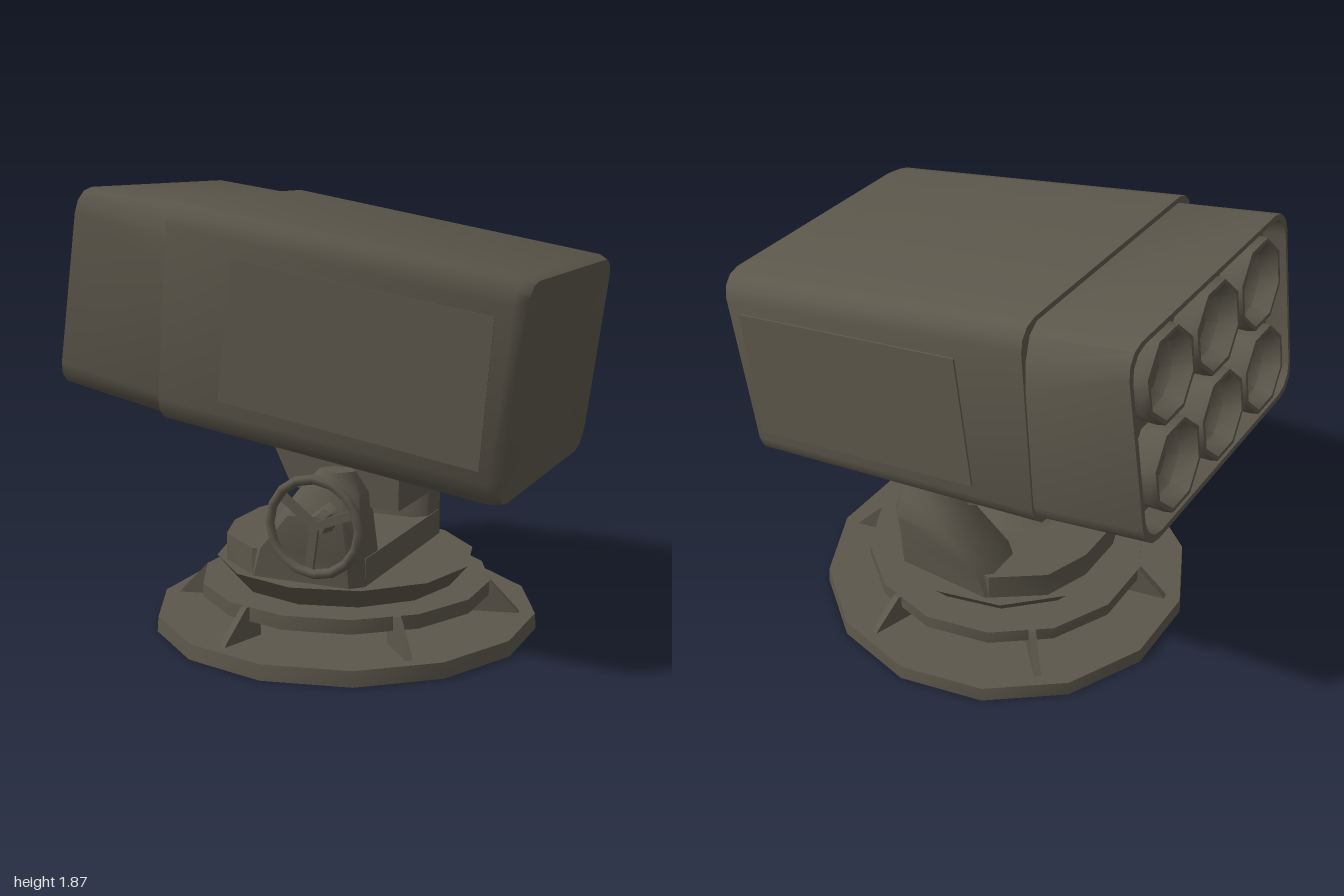
import * as THREE from 'three';
import { toCreasedNormals } from 'three/addons/utils/BufferGeometryUtils.js';

const olive = new THREE.MeshStandardMaterial({ color: 0x5c574b });
olive.name = 'drab olive';

export function createModel() {
  const root = new THREE.Group();
  const add = (name, geometry, parent = root) => {
    const mesh = new THREE.Mesh(geometry, olive);
    mesh.name = name;
    parent.add(mesh);
    return mesh;
  };
  const crease = (g, deg = 35) => toCreasedNormals(g, THREE.MathUtils.degToRad(deg));

  // Skin a list of closed rings (counter-clockwise seen from the end) and cap both ends
  const loft = (rings, deg = 35) => {
    const n = rings[0].length, pos = [];
    const tri = (...p) => p.forEach(v => pos.push(v[0], v[1], v[2]));
    const mid = r => [0, 1, 2].map(k => r.reduce((s, p) => s + p[k], 0) / n);
    const first = rings[0], last = rings[rings.length - 1];
    for (let j = 0; j < n; j++) {
      const k = (j + 1) % n;
      for (let i = 0; i < rings.length - 1; i++) {
        const a = rings[i][j], b = rings[i][k], c = rings[i + 1][k], d = rings[i + 1][j];
        tri(a, b, d);
        tri(b, c, d);
      }
      tri(mid(last), last[j], last[k]);
      tri(mid(first), first[k], first[j]);
    }
    const g = new THREE.BufferGeometry();
    g.setAttribute('position', new THREE.Float32BufferAttribute(pos, 3));
    return crease(g, deg);
  };

  // Rounded rectangle across the pod, leaning from its bottom point to its top point
  const section = ([tx, ty], [bx, by], w, [cz, cy] = [0.1, 0.1], [dz, dy] = [0.11, 0.1]) => {
    const ring = [], steps = 3;
    const corner = (sz, top, from) => {
      const rz = top ? cz : dz, ry = top ? cy : dy;
      for (let i = 0; i <= steps; i++) {
        const t = from + (i / steps) * Math.PI / 2;
        const z = sz * (w - rz) - rz * Math.cos(t);
        const y = (top ? ty - ry : by + ry) + ry * Math.sin(t);
        ring.push([bx + (tx - bx) * (y - by) / (ty - by), y, z]);
      }
    };
    corner(-1, true, 0);
    corner(1, true, Math.PI / 2);
    corner(1, false, Math.PI);
    corner(-1, false, Math.PI * 1.5);
    return ring;
  };

  // Launcher pod
  add('podHousing', loft([
    section([-0.46, 1.83], [-0.53, 0.94], 0.645),
    section([0.96, 1.578], [0.85, 0.722], 0.645),
    section([1.0, 1.56], [0.89, 0.72], 0.61),
  ], 50));

  // Hollow shroud around the tube mouths, pinched where it enters the housing
  add('tubeShroud', loft([
    section([-0.79, 1.84], [-0.9, 1.09], 0.615),
    section([-0.884, 1.852], [-0.998, 1.08], 0.62),
    section([-0.88, 1.87], [-1.0, 1.055], 0.64),
    section([-0.44, 1.805], [-0.5, 0.95], 0.635, [0.1, 0.25]),
  ], 40));

  // Six open tubes in two rows
  const tubeProfile = [[0.175, -0.3], [0.187, -0.02], [0.182, 0.015], [0.165, 0.015],
    [0.145, -0.06], [0.08, -0.1], [0, -0.11]].map(p => new THREE.Vector2(...p));
  const tubeGeometry = crease(new THREE.LatheGeometry(tubeProfile, 8, Math.PI / 8), 50);
  const slope = Math.atan2(0.12, 0.81);
  for (const row of [-0.19, 0.19]) for (const z of [-0.37, 0, 0.37]) {
    const tube = add('launchTube', tubeGeometry);
    tube.position.set(-0.935 + row * Math.sin(slope), 1.465 + row * Math.cos(slope), z);
    tube.rotation.z = Math.PI / 2 - slope;
  }

  // Extruded outline helper
  const extrude = (points, depth) => crease(new THREE.ExtrudeGeometry(
    new THREE.Shape(points.map(p => new THREE.Vector2(...p))), { depth, bevelEnabled: false }));

  // Thin side panels
  const panel = extrude([[-0.25, 1.05], [0.83, 0.87], [0.88, 1.44], [-0.18, 1.61]], 0.008);
  add('sidePanelFront', panel).position.z = 0.641;
  add('sidePanelBack', panel).position.z = -0.655;

  // Cradle under the pod
  add('cradle', extrude([[-0.2, 0.92], [-0.08, 0.67], [0.05, 0.61], [0.4, 0.6], [0.4, 0.83]], 0.7))
    .position.z = -0.35;

  // Yoke floor with a low centre cap
  add('yokeFloor', extrude([[0.29, -0.42], [0.29, 0.42], [-0.2, 0.47], [-0.4, 0.32],
    [-0.47, 0.12], [-0.47, -0.12], [-0.4, -0.32], [-0.2, -0.47]], 0.12).rotateX(-Math.PI / 2))
    .position.y = 0.29;
  add('centreCap', new THREE.ConeGeometry(0.2, 0.06, 10)).position.set(-0.05, 0.436, 0);

  // Yoke arms: stacked outlines [y, x0, x1, inner z, outer z] with cut corners
  const armLevels = [[0.29, -0.24, 0.29, 0.22, 0.48], [0.42, -0.2, 0.285, 0.24, 0.49],
    [0.58, -0.06, 0.28, 0.275, 0.52], [0.67, 0.0, 0.27, 0.3, 0.49], [0.76, 0.08, 0.23, 0.34, 0.46]];
  for (const side of [1, -1]) {
    const rings = armLevels.map(([y, x0, x1, zi, zo]) => {
      const c = 0.05;
      const ring = [[x0 + c, zo], [x1 - c, zo], [x1, zo - c], [x1, zi + c],
        [x1 - c, zi], [x0 + c, zi], [x0, zi + c], [x0, zo - c]].map(([x, z]) => [x, y, side * z]);
      return side > 0 ? ring : ring.reverse();
    });
    add(side > 0 ? 'yokeArmFront' : 'yokeArmBack', loft(rings, 45));
  }

  // Elevation handwheel
  const wheel = new THREE.Group();
  wheel.name = 'handwheel';
  wheel.position.set(0.165, 0.585, 0.645);
  root.add(wheel);
  add('wheelRim', new THREE.TorusGeometry(0.19, 0.02, 6, 16), wheel);
  const alongZ = (r0, r1, length, sides) =>
    crease(new THREE.CylinderGeometry(r0, r1, length, sides).rotateX(Math.PI / 2));
  add('wheelHub', alongZ(0.04, 0.05, 0.08, 8), wheel).position.z = -0.055;
  add('wheelShaft', alongZ(0.025, 0.025, 0.14, 8), wheel).position.z = -0.1;
  add('shaftBoss', alongZ(0.02, 0.09, 0.06, 8), wheel).position.z = -0.14;
  for (const deg of [22, 142, 262]) {
    const spoke = add('wheelSpoke', new THREE.BoxGeometry(0.19, 0.035, 0.018).translate(0.095, 0, 0), wheel);
    spoke.rotation.z = THREE.MathUtils.degToRad(deg);
    spoke.position.z = -0.01;
  }

  // Stacked base discs: [name, top radius, bottom radius, bottom y, top y, sides]
  const base = new THREE.Group();
  base.name = 'base';
  base.position.x = 0.015;
  root.add(base);
  for (const [name, r1, r0, y0, y1, sides] of [
    ['groundPlate', 0.825, 0.83, 0, 0.065, 14],
    ['pedestal', 0.34, 0.4, 0.06, 0.15, 14],
    ['bearingRing', 0.63, 0.63, 0.14, 0.2, 14],
    ['turntable', 0.56, 0.48, 0.2, 0.295, 12],
  ]) {
    add(name, crease(new THREE.CylinderGeometry(r1, r0, y1 - y0, sides), 28), base)
      .position.y = (y0 + y1) / 2;
  }

  // Radial fins bracing the ring
  const fin = extrude([[0.55, 0.06], [0.76, 0.06], [0.74, 0.085], [0.63, 0.2], [0.55, 0.2]], 0.03)
    .translate(0, 0, -0.015);
  for (let i = 0; i < 6; i++) {
    add('braceFin', fin, base).rotation.y = -THREE.MathUtils.degToRad(47 + i * 60);
  }
  return root;
}
